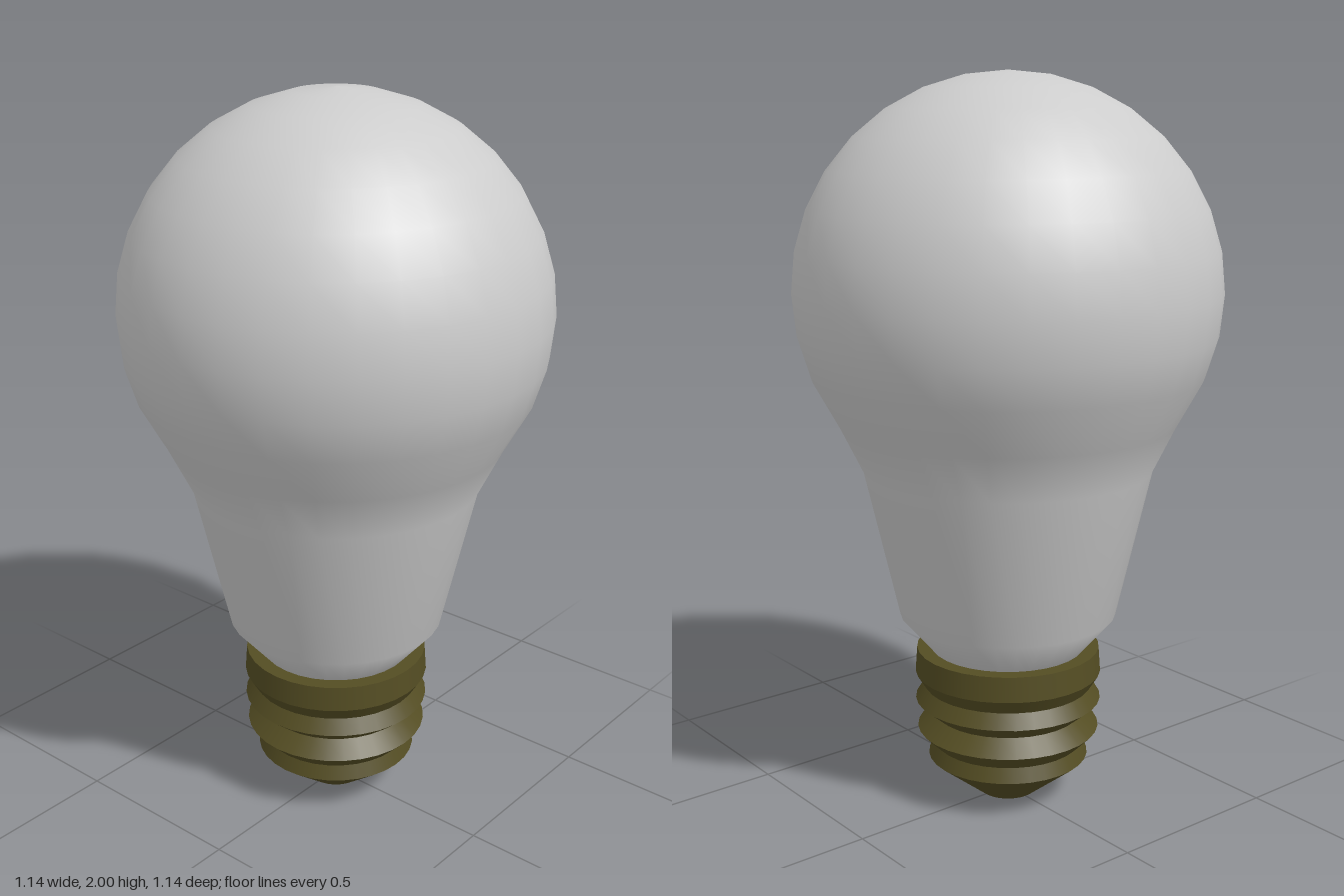
import * as THREE from 'three';

const SIDES = 32;

// Revolved surface from [radius, height] pairs listed bottom to top
function lathe(name, points, material) {
  const profile = points.map(([r, y]) => new THREE.Vector2(r, y));
  const mesh = new THREE.Mesh(new THREE.LatheGeometry(profile, SIDES), material);
  mesh.name = name;
  return mesh;
}

export function createModel() {
  const glass = new THREE.MeshStandardMaterial({ color: 0xcccccc });
  glass.name = 'frosted glass';
  const brass = new THREE.MeshStandardMaterial({ color: 0x544d23 });
  brass.name = 'dark brass';

  const model = new THREE.Group();
  model.name = 'lightBulb';

  // Glass: tapered neck flowing into a sphere
  const R = 0.572, centre = 1.428;
  const bulb = [[0.21, 0.43], [0.3, 0.535], [0.395, 0.95], [0.458, 1.08]];
  for (let i = -2; i <= 8; i++) {
    const a = (i * Math.PI) / 16;
    bulb.push([i === 8 ? 0 : R * Math.cos(a), centre + R * Math.sin(a)]);
  }
  model.add(lathe('glassBulb', bulb, glass));

  // Screw base: one lathe per band keeps the ridges sharp
  const base = new THREE.Group();
  base.name = 'screwBase';
  const rings = [
    [0, 0], [0.08, 0], [0.225, 0.115], [0.21, 0.155], [0.255, 0.2], [0.21, 0.243],
    [0.26, 0.285], [0.235, 0.325], [0.26, 0.365], [0.255, 0.435], [0.19, 0.435],
  ];
  for (let i = 0; i < rings.length - 1; i++) {
    const name = i === 0 ? 'contactTip' : i === 1 ? 'contactCone' : 'threadBand' + (i - 1);
    base.add(lathe(name, [rings[i], rings[i + 1]], brass));
  }
  model.add(base);

  return model;
}
